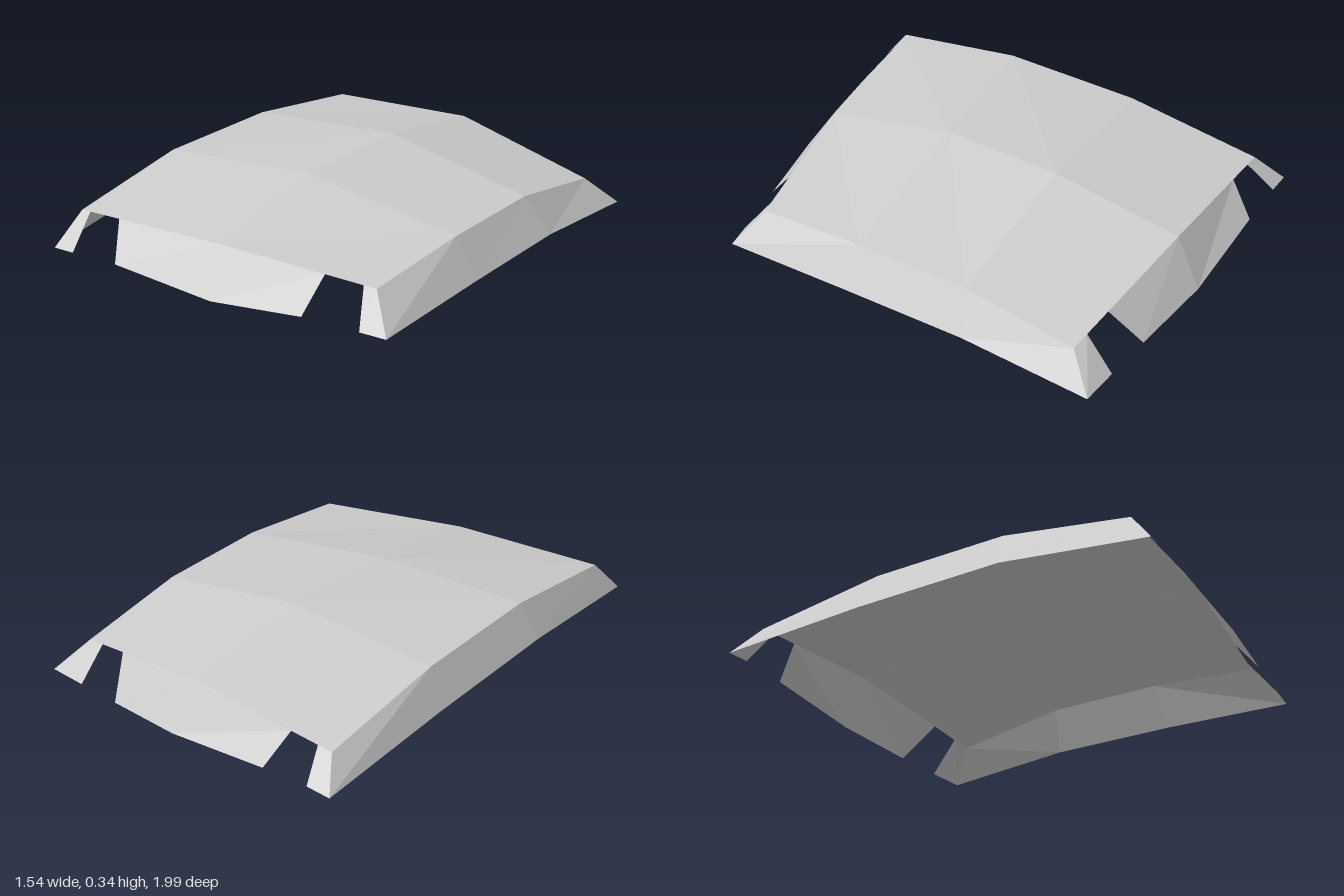
import * as THREE from 'three';

// Folded sheet between matching rows of points
function sheet(name, rows, material) {
  const pos = [];
  for (let r = 0; r + 1 < rows.length; r++) {
    for (let c = 0; c + 1 < rows[r].length; c++) {
      const a = rows[r][c], b = rows[r][c + 1], d = rows[r + 1][c], e = rows[r + 1][c + 1];
      pos.push(...a, ...d, ...b, ...b, ...d, ...e);
    }
  }
  const geo = new THREE.BufferGeometry();
  geo.setAttribute('position', new THREE.Float32BufferAttribute(pos, 3));
  geo.computeVertexNormals();
  const mesh = new THREE.Mesh(geo, material);
  mesh.name = name;
  return mesh;
}

// Point at a given x on an edge made of three points
function along(edge, x) {
  const [p, q] = x < edge[1][0] ? [edge[0], edge[1]] : [edge[1], edge[2]];
  const t = (x - p[0]) / (q[0] - p[0]);
  return p.map((v, i) => v + (q[i] - v) * t);
}

export function createModel() {
  const grey = new THREE.MeshStandardMaterial({ color: 0xcccccc, side: THREE.DoubleSide, flatShading: true });
  grey.name = 'light grey';
  const model = new THREE.Group();
  model.name = 'curvedRoofPanel';
  const add = (name, ...rows) => model.add(sheet(name, rows, grey));

  // Domed top, rows from back to front
  const top = [
    [[-0.677, 0.227, -0.89], [0, 0.257, -0.88], [0.67, 0.134, -0.79]],
    [[-0.69, 0.303, -0.295], [-0.01, 0.34, -0.31], [0.66, 0.207, -0.3]],
    [[-0.7, 0.305, 0.31], [-0.05, 0.317, 0.23], [0.65, 0.2, 0.21]],
    [[-0.7, 0.22, 0.88], [-0.04, 0.205, 0.815], [0.613, 0.145, 0.705]],
  ];
  add('topPanel', ...top);

  // Long side skirts
  const rightOuter = [[-0.753, 0.115, -1], [-0.765, 0.142, -0.33], [-0.775, 0.147, 0.34], [-0.755, 0.08, 0.993]];
  const leftOuter = [[0.77, 0.01, -0.91], [0.763, 0.048, -0.34], [0.752, 0.037, 0.23], [0.725, 0.004, 0.805]];
  add('rightSkirt', top.map((r) => r[0]), rightOuter);
  add('leftSkirt', top.map((r) => r[2]).reverse(), [...leftOuter].reverse());

  // Front flap and corner tabs
  const front = top[3];
  add('frontFlap', [along(front, -0.52), front[1], along(front, 0.4)],
    [[-0.46, 0.07, 0.965], [-0.005, 0.018, 0.935], [0.372, 0.023, 0.857]]);
  add('frontRightTab', [front[0], along(front, -0.66)], [rightOuter[3], [-0.665, 0.077, 0.985]]);
  add('frontLeftTab', [along(front, 0.56), front[2]], [[0.613, 0.01, 0.82], leftOuter[3]]);

  // Back flap and corner tabs
  const back = top[0];
  add('backFlap', [along(back, 0.455), back[1], along(back, -0.48)],
    [[0.39, 0.023, -0.945], [0.03, 0.06, -0.997], [-0.43, 0.105, -0.997]]);
  add('backRightTab', [along(back, -0.61), back[0]], [[-0.645, 0.12, -1], rightOuter[0]]);
  add('backLeftTab', [back[2], along(back, 0.587)], [leftOuter[0], [0.6, 0.012, -0.922]]);

  return model;
}
